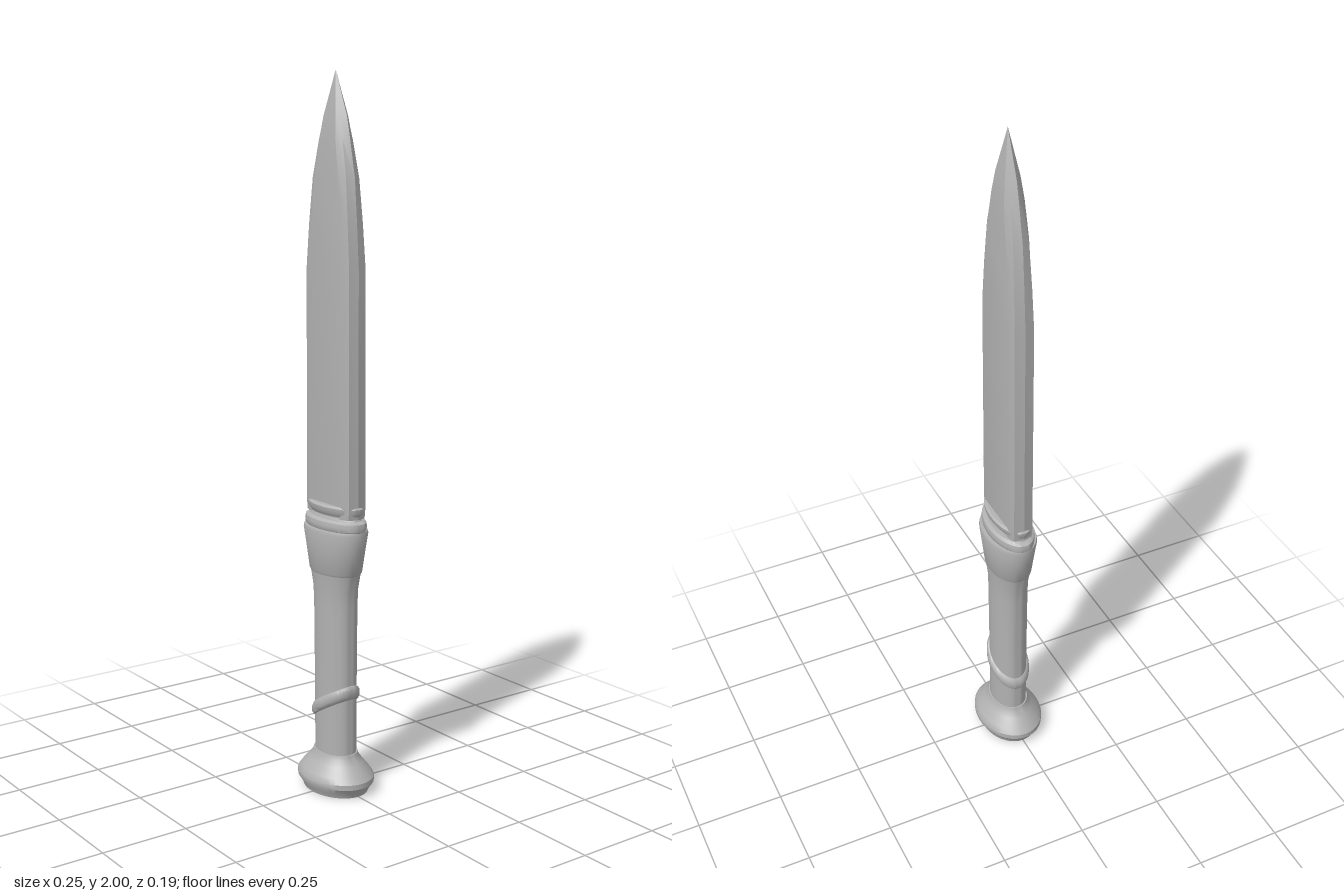
import * as THREE from 'three';
import { toCreasedNormals } from 'three/addons/utils/BufferGeometryUtils.js';

const steel = new THREE.MeshStandardMaterial({ color: 0xb2b2b2 });
steel.name = 'grey steel';

// Skins a stack of closed rings (arrays of [x, y, z]) and caps both ends.
// Rings run counterclockwise as seen from above, lowest ring first.
function loft(rings, crease) {
  const n = rings[0].length, pos = [], idx = [];
  rings.forEach(r => r.forEach(p => pos.push(...p)));
  for (let i = 0; i < rings.length - 1; i++) {
    for (let j = 0; j < n; j++) {
      const a = i * n + j, b = i * n + (j + 1) % n;
      idx.push(a, b, a + n, b, b + n, a + n);
    }
  }
  const top = (rings.length - 1) * n;
  for (let j = 1; j < n - 1; j++) {
    idx.push(0, j + 1, j, top, top + j, top + j + 1);
  }
  const g = new THREE.BufferGeometry();
  g.setAttribute('position', new THREE.Float32BufferAttribute(pos, 3));
  g.setIndex(idx);
  return toCreasedNormals(g, crease);
}

// Oval turned part from rows of [y, halfWidth, halfDepth]; slope tilts it along x.
function oval(rows, slope = 0, sides = 40) {
  return loft(rows.map(([y, rx, rz]) => Array.from({ length: sides }, (_, j) => {
    const t = j / sides * Math.PI * 2, x = rx * Math.cos(t);
    return [x, y + slope * x, -rz * Math.sin(t)];
  })), 0.6);
}

// Blade section: side edges, bevels and broad flat faces; k sets how full the bevel is.
function bladeRing([y, w, a, t, k]) {
  const m = a + (w - a) * k, s = t * k;
  return [[w, 0], [m, -s], [a, -t], [-a, -t], [-m, -s], [-w, 0],
    [-m, s], [-a, t], [a, t], [m, s]].map(([x, z]) => [x, y, z]);
}

export function createModel() {
  const group = new THREE.Group();
  const add = (name, geometry) => {
    const mesh = new THREE.Mesh(geometry, steel);
    mesh.name = name;
    group.add(mesh);
  };

  add('pommel', oval([
    [0, 0.108, 0.082], [0.012, 0.113, 0.086], [0.03, 0.127, 0.097], [0.045, 0.127, 0.097],
    [0.06, 0.115, 0.088], [0.085, 0.092, 0.068], [0.1, 0.078, 0.058], [0.112, 0.074, 0.055],
  ]));
  add('grip', oval([
    [0.1, 0.07, 0.051], [0.35, 0.071, 0.052], [0.54, 0.073, 0.053],
    [0.59, 0.076, 0.054], [0.645, 0.089, 0.059],
  ]));
  // Slanted band around the lower grip
  add('gripBand', oval([
    [0.234, 0.069, 0.05], [0.238, 0.075, 0.056], [0.247, 0.079, 0.06],
    [0.263, 0.079, 0.06], [0.272, 0.075, 0.056], [0.276, 0.069, 0.05],
  ], 0.58));
  add('collar', oval([
    [0.636, 0.088, 0.058], [0.642, 0.092, 0.061], [0.7, 0.103, 0.067],
    [0.757, 0.115, 0.073], [0.765, 0.113, 0.071],
  ]));
  add('lowerRing', oval([
    [0.76, 0.108, 0.056], [0.767, 0.116, 0.061], [0.778, 0.118, 0.062],
    [0.789, 0.116, 0.06], [0.795, 0.106, 0.052],
  ]));
  add('neck', oval([[0.79, 0.105, 0.049], [0.803, 0.099, 0.044], [0.815, 0.103, 0.048]]));
  add('upperRing', oval([
    [0.806, 0.101, 0.046], [0.816, 0.108, 0.053], [0.829, 0.109, 0.054], [0.834, 0.105, 0.048],
  ]));

  // Rows of y, halfWidth, flatHalfWidth, halfThickness, bevel fullness
  add('blade', loft([
    [0.8, 0.102, 0.075, 0.035, 0.78], [0.83, 0.105, 0.078, 0.036, 0.78],
    [1.48, 0.103, 0.076, 0.035, 0.78], [1.6, 0.095, 0.066, 0.034, 0.74],
    [1.72, 0.085, 0.054, 0.032, 0.68], [1.82, 0.064, 0.036, 0.028, 0.6],
    [1.88, 0.05, 0.027, 0.021, 0.52], [1.94, 0.025, 0.0135, 0.0105, 0.52],
    [2, 0.0005, 0.0003, 0.0002, 0.52],
  ].map(bladeRing), 0.4));

  return group;
}
